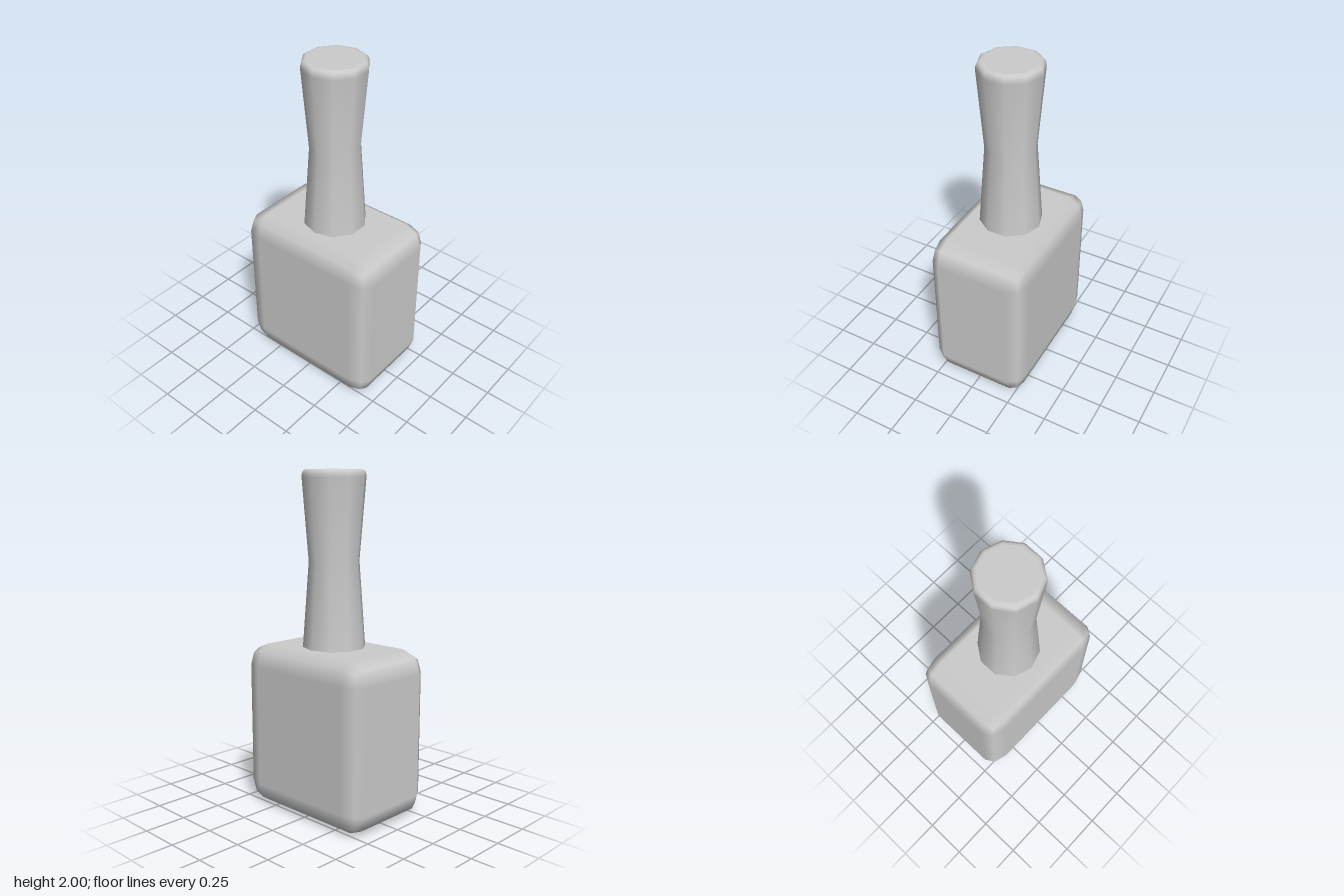
import * as THREE from 'three';

const material = new THREE.MeshStandardMaterial({ color: 0xcccccc });

// Box with softly bevelled edges; each axis has its own bevel radius.
function bevelledBox(half, radius) {
  const geometry = new THREE.BoxGeometry(2, 2, 2, 3, 3, 3);
  const position = geometry.attributes.position;
  const normal = geometry.attributes.normal;
  const p = new THREE.Vector3();
  for (let i = 0; i < position.count; i++) {
    p.fromBufferAttribute(position, i);
    const core = new THREE.Vector3(Math.sign(p.x), Math.sign(p.y), Math.sign(p.z))
      .multiply(half.clone().sub(radius));
    // outer grid lines lie on the bevel, inner ones bound the flat face
    const dir = new THREE.Vector3(Math.trunc(p.x * 1.01), Math.trunc(p.y * 1.01), Math.trunc(p.z * 1.01)).normalize();
    const n = dir.clone().divide(radius).normalize();
    p.copy(dir).multiply(radius).add(core);
    position.setXYZ(i, p.x, p.y, p.z);
    normal.setXYZ(i, n.x, n.y, n.z);
  }
  return geometry;
}

// Ten-sided turned part from [radius, height] pairs.
function turned(profile) {
  return new THREE.LatheGeometry(profile.map(([r, y]) => new THREE.Vector2(r, y)), 10);
}

export function createModel() {
  const model = new THREE.Group();
  const add = (name, geometry) => {
    const mesh = new THREE.Mesh(geometry, material);
    mesh.name = name;
    model.add(mesh);
    return mesh;
  };

  // Bottle body
  const body = add('bottle', bevelledBox(new THREE.Vector3(0.46, 0.493, 0.3), new THREE.Vector3(0.12, 0.13, 0.08)));
  body.position.y = 0.498;

  // Short neck hidden under the cap
  add('neck', new THREE.CylinderGeometry(0.05, 0.05, 0.06, 10).translate(0, 0.99, 0));

  // Waisted cap with a rounded top rim
  add('cap', turned([
    [0.184, 0.994], [0.147, 1.49], [0.184, 1.955], [0.183, 1.975], [0.177, 1.992], [0.163, 2], [0.15, 2], [0, 2],
  ]));

  // Flat underside of the cap
  add('capUnderside', turned([[0, 0.994], [0.184, 0.994]]));

  return model;
}
